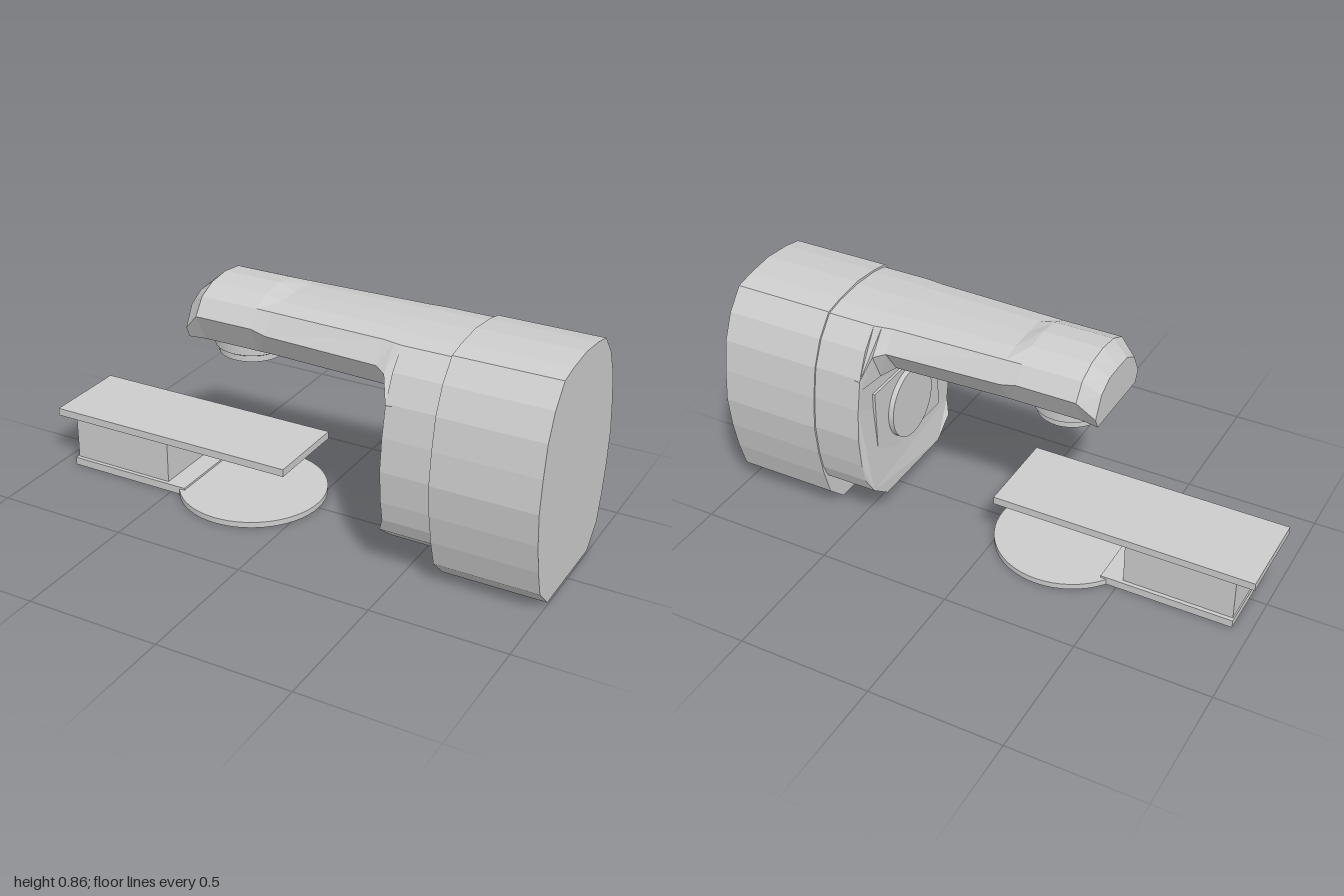
import * as THREE from 'three';

const flat = new THREE.MeshStandardMaterial({ color: 0xcccccc, flatShading: true });
const smooth = new THREE.MeshStandardMaterial({ color: 0xcccccc });

// Half section [z, y] from top centre to bottom -> full mirrored ring at x
function ring(x, half) {
  const at = (z, y) => new THREE.Vector3(typeof x === 'function' ? x(y) : x, y, z);
  return [
    ...half.map(([z, y]) => at(z, y)),
    ...half.slice(1).reverse().map(([z, y]) => at(-z, y)),
  ];
}

// Skin rings ordered along +x and cap both ends
function loft(rings) {
  const pos = [];
  const tri = (...v) => v.forEach(p => pos.push(p.x, p.y, p.z));
  for (let r = 0; r < rings.length - 1; r++) {
    const a = rings[r], b = rings[r + 1];
    a.forEach((p, i) => {
      const j = (i + 1) % a.length;
      tri(p, a[j], b[i]);
      tri(a[j], b[j], b[i]);
    });
  }
  const cap = (pts, flip) => {
    const outline = pts.map(p => new THREE.Vector2(-p.z, p.y));
    for (const [a, b, c] of THREE.ShapeUtils.triangulateShape(outline, [])) {
      if (flip) tri(pts[a], pts[c], pts[b]);
      else tri(pts[a], pts[b], pts[c]);
    }
  };
  cap(rings[0], true);
  cap(rings[rings.length - 1], false);
  const g = new THREE.BufferGeometry();
  g.setAttribute('position', new THREE.Float32BufferAttribute(pos, 3));
  g.computeVertexNormals();
  return g;
}

export function createModel() {
  const model = new THREE.Group();
  const add = (name, geometry, material = flat, x = 0, y = 0, z = 0) => {
    const m = new THREE.Mesh(geometry, material);
    m.name = name;
    m.position.set(x, y, z);
    model.add(m);
    return m;
  };
  const box = (name, x0, x1, y0, y1, halfZ) =>
    add(name, new THREE.BoxGeometry(x1 - x0, y1 - y0, halfZ * 2), flat, (x0 + x1) / 2, (y0 + y1) / 2);

  // Large rear housing
  const housing = [[0, 0.845], [0.11, 0.835], [0.185, 0.82], [0.25, 0.745], [0.293, 0.65], [0.315, 0.535],
    [0.327, 0.415], [0.315, 0.295], [0.293, 0.185], [0.263, 0.085], [0.185, 0.01]];
  add('rearHousing', loft([ring(0.62, housing), ring(1, housing)]));

  // Slimmer front housing with a lip along its lower front edge
  const neck = [[0, 0.835], [0.11, 0.828], [0.18, 0.813], [0.243, 0.742], [0.287, 0.65], [0.309, 0.535],
    [0.32, 0.415], [0.309, 0.295], [0.294, 0.22], [0.27, 0.165], [0.185, 0.098]];
  add('frontHousing', loft([ring(y => (y < 0.2 ? 0.42 : 0.44), neck), ring(0.62, neck)]));

  // Overhanging arm, swelling into a bevelled head at its free end
  add('arm', loft([
    ring(-0.4, [[0, 0.8], [0.07, 0.798], [0.13, 0.765], [0.17, 0.69], [0.15, 0.65]]),
    ring(-0.34, [[0, 0.857], [0.085, 0.847], [0.155, 0.815], [0.197, 0.755], [0.14, 0.65]]),
    ring(-0.12, [[0, 0.857], [0.085, 0.847], [0.155, 0.815], [0.197, 0.755], [0.14, 0.65]]),
    ring(-0.06, [[0, 0.833], [0.09, 0.83], [0.157, 0.815], [0.2, 0.742], [0.14, 0.65]]),
    ring(0.37, [[0, 0.835], [0.1, 0.83], [0.17, 0.815], [0.222, 0.742], [0.16, 0.65]]),
    ring(0.41, [[0, 0.835], [0.105, 0.829], [0.176, 0.814], [0.245, 0.73], [0.2, 0.627]]),
    ring(0.44, [[0, 0.835], [0.11, 0.828], [0.18, 0.813], [0.29, 0.645], [0.285, 0.605]]),
    ring(0.5, [[0, 0.835], [0.11, 0.828], [0.18, 0.813], [0.286, 0.645], [0.28, 0.605]]),
  ]));

  // Stepped nozzle under the head
  const nozzle = [[0.133, 0.67], [0.133, 0.612], [0.12, 0.605], [0.12, 0.583], [0, 0.583]]
    .map(([r, y]) => new THREE.Vector2(r, y)).reverse();
  // Crisp steps: one lathe per profile segment
  for (let i = 0; i < nozzle.length - 1; i++) {
    add('nozzle', new THREE.LatheGeometry([nozzle[i], nozzle[i + 1]], 40), smooth, -0.232);
  }

  // Square panel and round dial on the front housing
  box('dialPanel', 0.43, 0.45, 0.25, 0.55, 0.215);
  add('dial', new THREE.CylinderGeometry(0.136, 0.136, 0.03, 40), smooth, 0.425, 0.396).rotation.z = Math.PI / 2;

  // Lower support: base, round foot, riser block and top plate
  box('base', -0.935, -0.44, 0, 0.03, 0.165);
  add('roundFoot', new THREE.CylinderGeometry(0.277, 0.277, 0.022, 56), smooth, -0.24, 0.011);
  box('riser', -0.93, -0.52, 0.03, 0.197, 0.15);
  box('topPlate', -1, -0.015, 0.196, 0.225, 0.167);

  return model;
}
